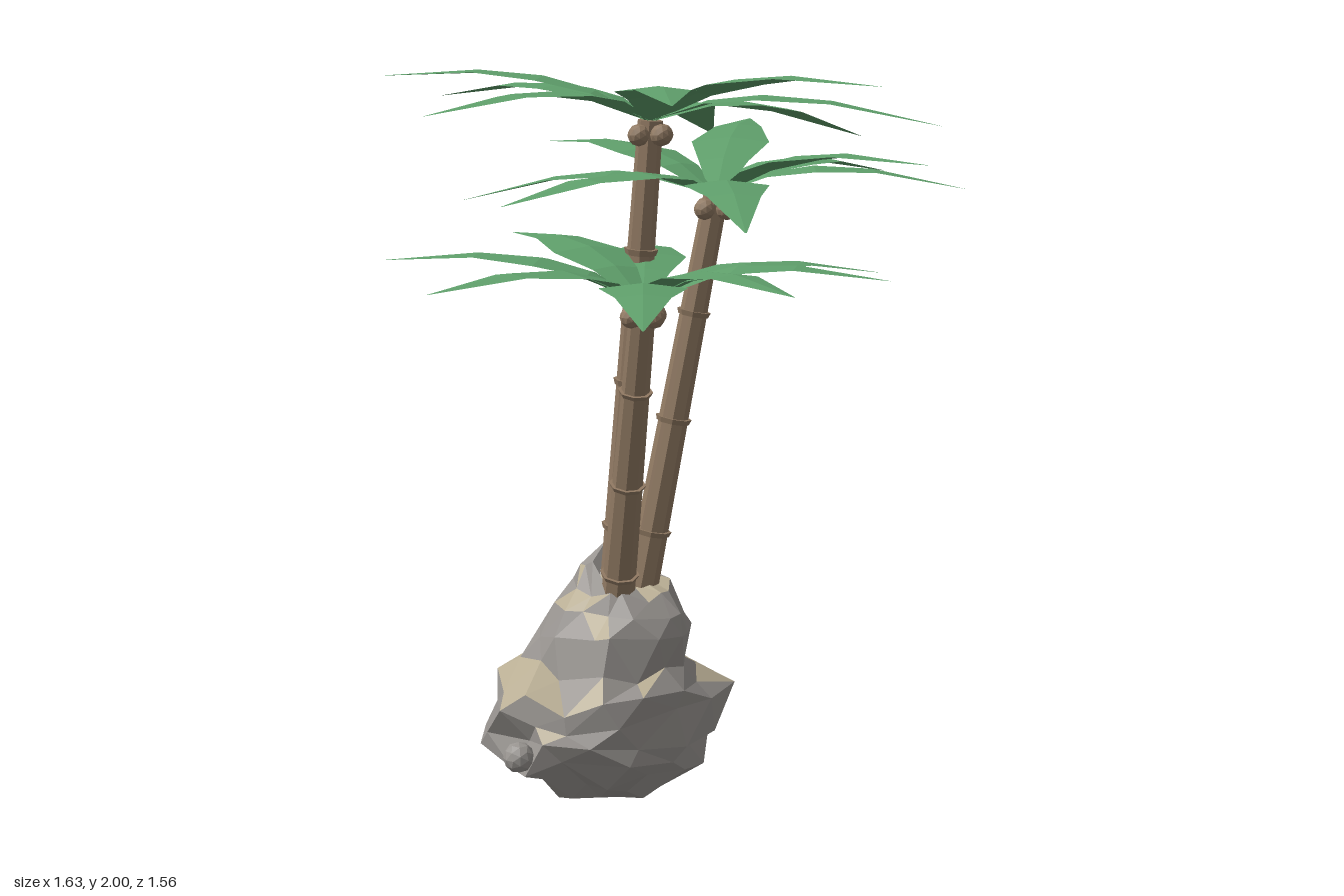
import * as THREE from 'three';

const V = (x, y, z) => new THREE.Vector3(x, y, z);
const mat = (name, color, extra = {}) => {
  const m = new THREE.MeshStandardMaterial({ color, flatShading: true, ...extra });
  m.name = name;
  return m;
};

// Seeded random in -1..1
function seeded(seed) {
  let s = seed;
  return () => {
    s = (s * 16807) % 2147483647;
    return (s / 2147483647) * 2 - 1;
  };
}

function trianglesGeometry(tris) {
  const g = new THREE.BufferGeometry().setFromPoints(tris.flat());
  g.computeVertexNormals();
  return g;
}

// Folded, arching frond from the crown centre to its tip: [distance, half width]
const FROND = [[0, 0.015], [0.2, 0.068], [0.39, 0.108], [0.63, 0.066], [1, 0.002]];
function frondGeometry(center, tip) {
  const side = V(tip.z - center.z, 0, center.x - tip.x).normalize();
  const rows = FROND.map(([t, w]) => {
    const mid = center.clone().lerp(tip, t);
    mid.y += 0.07 * Math.sin(Math.PI * Math.pow(t, 0.8));
    const edge = (s) => mid.clone().addScaledVector(side, s * w).add(V(0, -0.12 * w, 0));
    return [edge(-1), mid, edge(1)];
  });
  const tris = [];
  for (let i = 0; i < rows.length - 1; i++) {
    for (let j = 0; j < 2; j++) {
      const a = rows[i][j], b = rows[i][j + 1], c = rows[i + 1][j], d = rows[i + 1][j + 1];
      tris.push([a, b, d], [a, d, c]);
    }
  }
  return trianglesGeometry(tris);
}

// Cylinder between two points
function rod(a, b, r0, r1, material, name) {
  const dir = b.clone().sub(a);
  const mesh = new THREE.Mesh(new THREE.CylinderGeometry(r1, r0, dir.length(), 8), material);
  mesh.position.copy(a).lerp(b, 0.5);
  mesh.quaternion.setFromUnitVectors(V(0, 1, 0), dir.normalize());
  mesh.name = name;
  return mesh;
}

function palm(name, base, top, ringHeights, tips, mats) {
  const group = new THREE.Group();
  group.name = name;
  const radius = (t) => 0.047 - 0.014 * t;
  group.add(rod(base, top, radius(0), radius(1), mats.bark, 'trunk'));

  // Thin flared rings up the trunk
  for (const y of ringHeights) {
    const t = (y - base.y) / (top.y - base.y);
    const dt = 0.006;
    const r = radius(t);
    group.add(rod(base.clone().lerp(top, t - dt), base.clone().lerp(top, t + dt),
      r + 0.004, r + 0.009, mats.bark, 'trunkRing'));
  }

  // Coconuts around the neck
  for (let i = 0; i < 4; i++) {
    const a = (i * Math.PI) / 2;
    const nut = new THREE.Mesh(new THREE.IcosahedronGeometry(0.029, 1), mats.bark);
    nut.position.set(top.x + 0.041 * Math.cos(a), top.y - 0.038, top.z + 0.041 * Math.sin(a));
    nut.name = 'coconut';
    group.add(nut);
  }

  for (const [x, y, z] of tips) {
    const frond = new THREE.Mesh(frondGeometry(top, V(x, y, z)), mats.leaf);
    frond.name = 'frond';
    group.add(frond);
  }
  return group;
}

// Craggy boulder lofted through levels: y, min x, max x, min z, max z
const LEVELS = [
  [0.015, -0.06, 0.05, -0.26, -0.11],
  [0.05, -0.18, 0.11, -0.33, -0.03],
  [0.11, -0.25, 0.26, -0.40, 0.03],
  [0.17, -0.36, 0.29, -0.42, 0.06],
  [0.22, -0.34, 0.31, -0.44, 0.075],
  [0.28, -0.35, 0.37, -0.43, 0.07],
  [0.34, -0.32, 0.26, -0.43, 0.07],
  [0.40, -0.24, 0.20, -0.40, 0.05],
  [0.48, -0.22, 0.18, -0.37, 0.04],
  [0.56, -0.17, 0.16, -0.34, 0.02],
  [0.60, -0.12, 0.12, -0.29, -0.02],
  [0.65, -0.08, 0.06, -0.26, -0.15],
];
function boulder(mats) {
  const rnd = seeded(4217);
  const N = 14;
  const rings = LEVELS.map(([y, x0, x1, z0, z1], k) => {
    const ring = [];
    for (let i = 0; i < N; i++) {
      const a = ((i + 0.5 * (k % 2) + 0.3 * rnd()) / N) * Math.PI * 2;
      const c = Math.cos(a), s = Math.sin(a);
      // Fuller at the back left corner, jagged all round
      const corner = c + s < 0 ? Math.max(0, Math.cos(2 * (a - 1.25 * Math.PI))) : 0;
      const bulge = 0.98 + 0.1 * rnd() + 0.16 * corner;
      ring.push(V(
        (x0 + x1) / 2 + ((x1 - x0) / 2) * c * bulge,
        Math.max(0.005, y + 0.03 * rnd()),
        (z0 + z1) / 2 + ((z1 - z0) / 2) * s * bulge));
    }
    return ring;
  });
  const tris = [];
  for (let k = 0; k < rings.length - 1; k++) {
    for (let i = 0; i < N; i++) {
      const j = (i + 1) % N;
      const a = rings[k][i], b = rings[k][j], c = rings[k + 1][i], d = rings[k + 1][j];
      if (k % 2) tris.push([a, c, d], [a, d, b]);
      else tris.push([a, c, b], [b, c, d]);
    }
  }
  const bottom = V(0, 0, -0.18), peak = V(-0.02, 0.73, -0.2);
  const last = rings[rings.length - 1];
  for (let i = 0; i < N; i++) {
    const j = (i + 1) % N;
    tris.push([bottom, rings[0][i], rings[0][j]], [peak, last[j], last[i]]);
  }

  // Sandy colour on some upward facets, away from the front
  const grey = [], sand = [];
  for (const t of tris) {
    const n = new THREE.Triangle(...t).getNormal(V(0, 0, 0));
    const y = (t[0].y + t[1].y + t[2].y) / 3;
    (n.y > 0.45 && n.z < 0.5 && y > 0.2 && y < 0.66 && rnd() > -0.4 ? sand : grey).push(t);
  }
  const group = new THREE.Group();
  group.name = 'boulder';
  for (const [list, m, name] of [[grey, mats.rock, 'rockFaces'], [sand, mats.sand, 'sandyFaces']]) {
    const mesh = new THREE.Mesh(trianglesGeometry(list), m);
    mesh.name = name;
    group.add(mesh);
  }

  // Small outcrops
  for (const [x, y, z, r, detail] of [[-0.37, 0.195, -0.15, 0.042, 1], [0.27, 0.18, -0.15, 0.05, 0]]) {
    const knob = new THREE.Mesh(new THREE.IcosahedronGeometry(r, detail), mats.rock);
    knob.position.set(x, y, z);
    knob.name = 'outcrop';
    group.add(knob);
  }
  return group;
}

export function createModel() {
  const mats = {
    leaf: mat('leafGreen', 0x5f9f6b, { side: THREE.DoubleSide }),
    bark: mat('barkBrown', 0x917a63),
    rock: mat('rockGrey', 0x999591),
    sand: mat('sandyRock', 0xb9ae94),
  };
  const model = new THREE.Group();
  model.name = 'palmRock';
  model.add(boulder(mats));

  model.add(palm('tallPalm', V(-0.03, 0.5, -0.16), V(-0.025, 1.872, -0.01), [0.78, 1.18, 1.53], [
    [-0.725, 1.89, -0.03], [-0.515, 1.92, 0.625], [0.03, 1.96, 0.75], [0.42, 1.86, 0.595],
    [0.68, 1.82, 0.07], [0.535, 1.82, -0.38], [-0.13, 1.93, -0.785], [-0.485, 1.985, -0.57],
  ], mats));

  model.add(palm('rightPalm', V(0.02, 0.5, -0.13), V(0.17, 1.676, 0.03), [0.76, 1.07, 1.36], [
    [0.81, 1.72, 0.04], [0.665, 1.69, 0.465], [0.26, 1.77, 0.695], [-0.305, 1.63, 0.645],
    [-0.535, 1.67, 0.02], [-0.225, 1.65, -0.56], [0.15, 1.8, -0.665], [0.735, 1.86, -0.435],
  ], mats));

  model.add(palm('leftPalm', V(-0.05, 0.5, -0.13), V(-0.18, 1.425, 0.14), [0.66, 0.92, 1.18], [
    [-0.815, 1.48, 0.1], [-0.63, 1.43, 0.66], [-0.275, 1.49, 0.775], [0.175, 1.49, 0.655],
    [0.565, 1.46, 0.26], [0.33, 1.5, -0.425], [-0.1, 1.56, -0.505], [-0.615, 1.52, -0.375],
  ], mats));
  return model;
}
